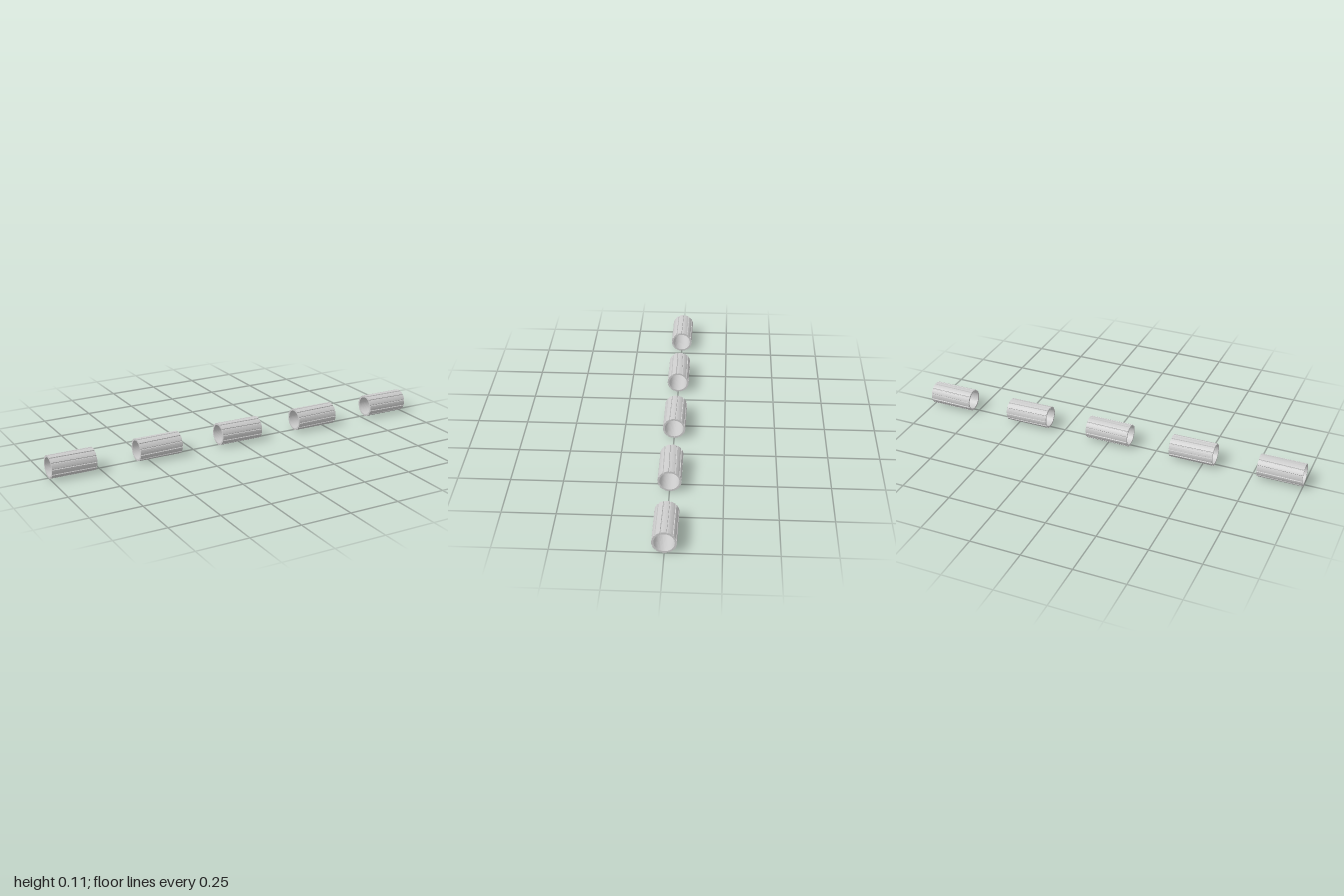
import * as THREE from 'three';

const LENGTH = 0.222, OUTER = 0.0555, INNER = 0.046, GROOVE = 0.052, STAVES = 12;

const polar = (r, a) => new THREE.Vector2(r * Math.cos(a), r * Math.sin(a));

// Ring section: wide lands parted by narrow slanted grooves
function ringShape() {
  const step = (Math.PI * 2) / STAVES;
  const outline = [];
  for (let i = 0; i < STAVES; i++) {
    for (const [t, r] of [[0, OUTER], [0.26, OUTER], [0.52, OUTER], [0.78, OUTER], [0.84, GROOVE], [0.94, GROOVE]]) {
      outline.push(polar(r, (i + t) * step));
    }
  }
  const shape = new THREE.Shape(outline);
  const bore = [];
  for (let i = 0; i < 48; i++) bore.push(polar(INNER, (-i / 48) * Math.PI * 2));
  shape.holes.push(new THREE.Path(bore));
  return shape;
}

// One hollow tube along x, its grooves twisting slightly from end to end
function tubeGeometry(phase, twist) {
  const geometry = new THREE.ExtrudeGeometry(ringShape(), { depth: LENGTH, bevelEnabled: false, steps: 2 });
  geometry.translate(0, 0, -LENGTH / 2);
  const p = geometry.attributes.position;
  const v = new THREE.Vector3();
  const axis = new THREE.Vector3(0, 0, 1);
  for (let i = 0; i < p.count; i++) {
    v.fromBufferAttribute(p, i);
    v.applyAxisAngle(axis, phase + (twist * v.z) / LENGTH);
    p.setXYZ(i, v.x, v.y, v.z);
  }
  geometry.rotateY(Math.PI / 2);
  geometry.computeVertexNormals();
  return geometry;
}

export function createModel() {
  const group = new THREE.Group();
  group.name = 'tubeRow';
  const material = new THREE.MeshStandardMaterial({ color: 0xcccccc, flatShading: true });
  // Five evenly spaced tubes, each turned a little further than the last
  for (let i = 0; i < 5; i++) {
    const tube = new THREE.Mesh(tubeGeometry(i * 0.21, i % 2 ? -0.06 : 0.06), material);
    tube.name = `tube${i + 1}`;
    tube.position.set((i - 2) * 0.4445, OUTER, 0);
    group.add(tube);
  }
  return group;
}
